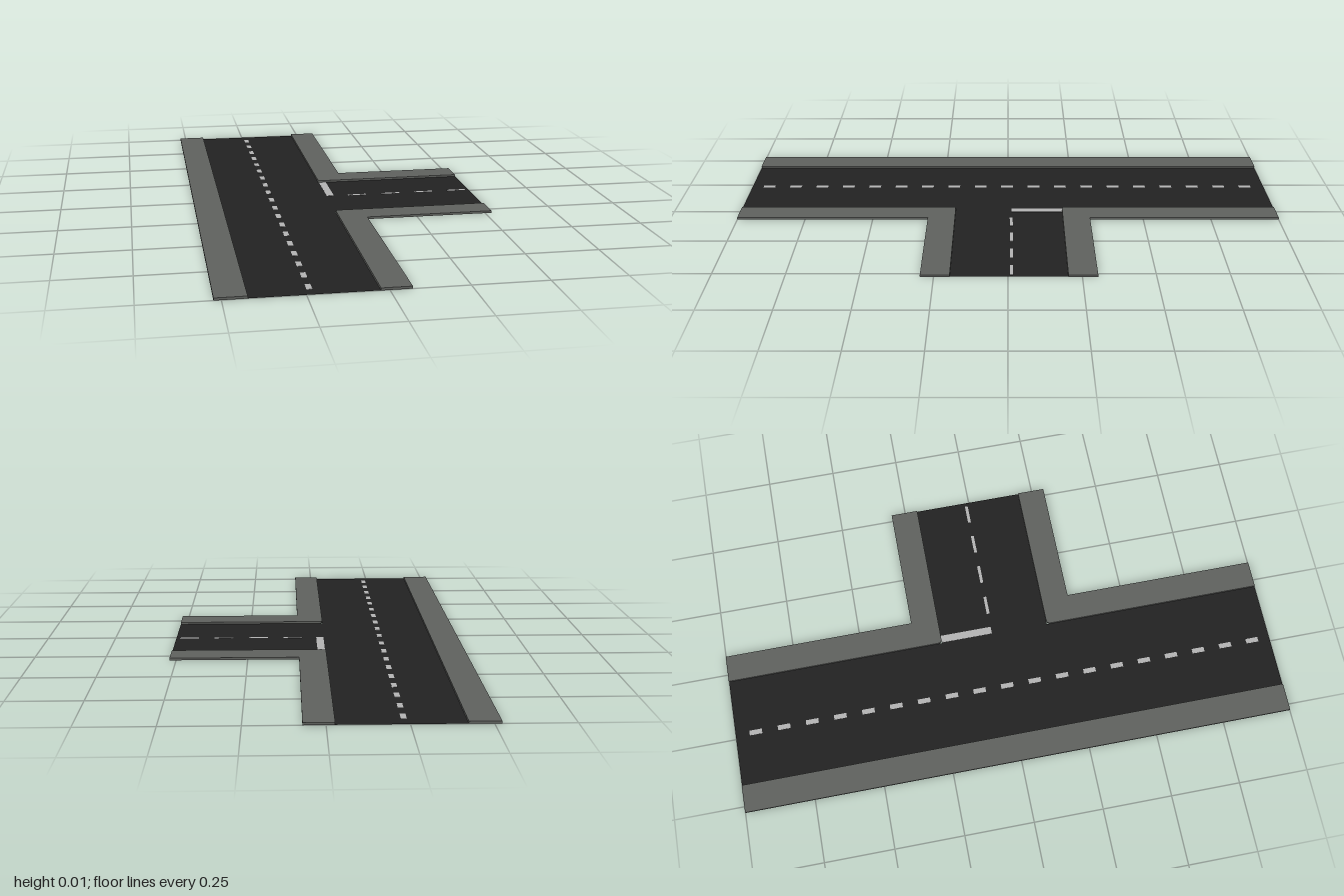
import * as THREE from 'three';

const W = 0.523;                        // half width of the whole junction
const ROAD_L = -0.423, ROAD_R = -0.027; // main road edges
const KERB_R = 0.07;                    // outer edge of the right pavement
const WALK_H = 0.008, ROAD_Y = 0.0006;

export function createModel() {
  const asphalt = new THREE.MeshStandardMaterial({ color: 0x222222, side: THREE.DoubleSide });
  asphalt.name = 'asphalt';
  const pavement = new THREE.MeshStandardMaterial({ color: 0x60625f });
  pavement.name = 'pavement';
  const paint = new THREE.MeshStandardMaterial({ color: 0xb4b4b4 });
  paint.name = 'roadPaint';

  const group = new THREE.Group();
  group.name = 'roadJunction';
  const add = (name, geometry, material) => {
    const mesh = new THREE.Mesh(geometry, material);
    mesh.name = name;
    group.add(mesh);
  };

  // Flat road surfaces
  const road = (name, x0, x1, z0, z1) => {
    const g = new THREE.PlaneGeometry(x1 - x0, z1 - z0).rotateX(-Math.PI / 2);
    add(name, g.translate((x0 + x1) / 2, ROAD_Y, (z0 + z1) / 2), asphalt);
  };
  road('mainRoad', ROAD_L, ROAD_R, -1, 1);
  road('sideRoad', ROAD_R, W, -0.203, 0.196);

  // Raised pavements, outlined in x and z
  const walk = (name, shape) => {
    const g = new THREE.ExtrudeGeometry(shape, { depth: WALK_H, bevelEnabled: false, curveSegments: 4 });
    add(name, g.rotateX(Math.PI / 2).translate(0, WALK_H, 0), pavement);
  };
  walk('leftPavement', new THREE.Shape([
    new THREE.Vector2(-W, -1), new THREE.Vector2(ROAD_L, -1),
    new THREE.Vector2(ROAD_L, 1), new THREE.Vector2(-W, 1),
  ]));

  // L-shaped corner pavement with a small rounded kerb at the junction
  const corner = (name, s, inner, outer) => {
    const r = 0.015;
    const shape = new THREE.Shape();
    shape.moveTo(ROAD_R, s);
    shape.lineTo(ROAD_R, s * (inner + r));
    shape.quadraticCurveTo(ROAD_R, s * inner, ROAD_R + r, s * inner);
    shape.lineTo(W, s * inner);
    shape.lineTo(W, s * outer);
    shape.lineTo(KERB_R, s * outer);
    shape.lineTo(KERB_R, s);
    shape.closePath();
    walk(name, shape);
  };
  corner('backCornerPavement', -1, 0.203, 0.303);
  corner('frontCornerPavement', 1, 0.196, 0.296);

  // Painted plates, just proud of both faces of the road
  const mark = (name, x, z, w, d) =>
    add(name, new THREE.BoxGeometry(w, 2 * ROAD_Y, d).translate(x, ROAD_Y, z), paint);
  for (let i = 0; i < 19; i++) mark('mainRoadDash', -0.235, -0.927 + i * 0.1034, 0.018, 0.046);
  for (let i = 0; i < 4; i++) mark('sideRoadDash', 0.09 + i * 0.128, -0.012, 0.07, 0.011);
  mark('stopLine', -0.011, -0.108, 0.027, 0.19);

  return group;
}
